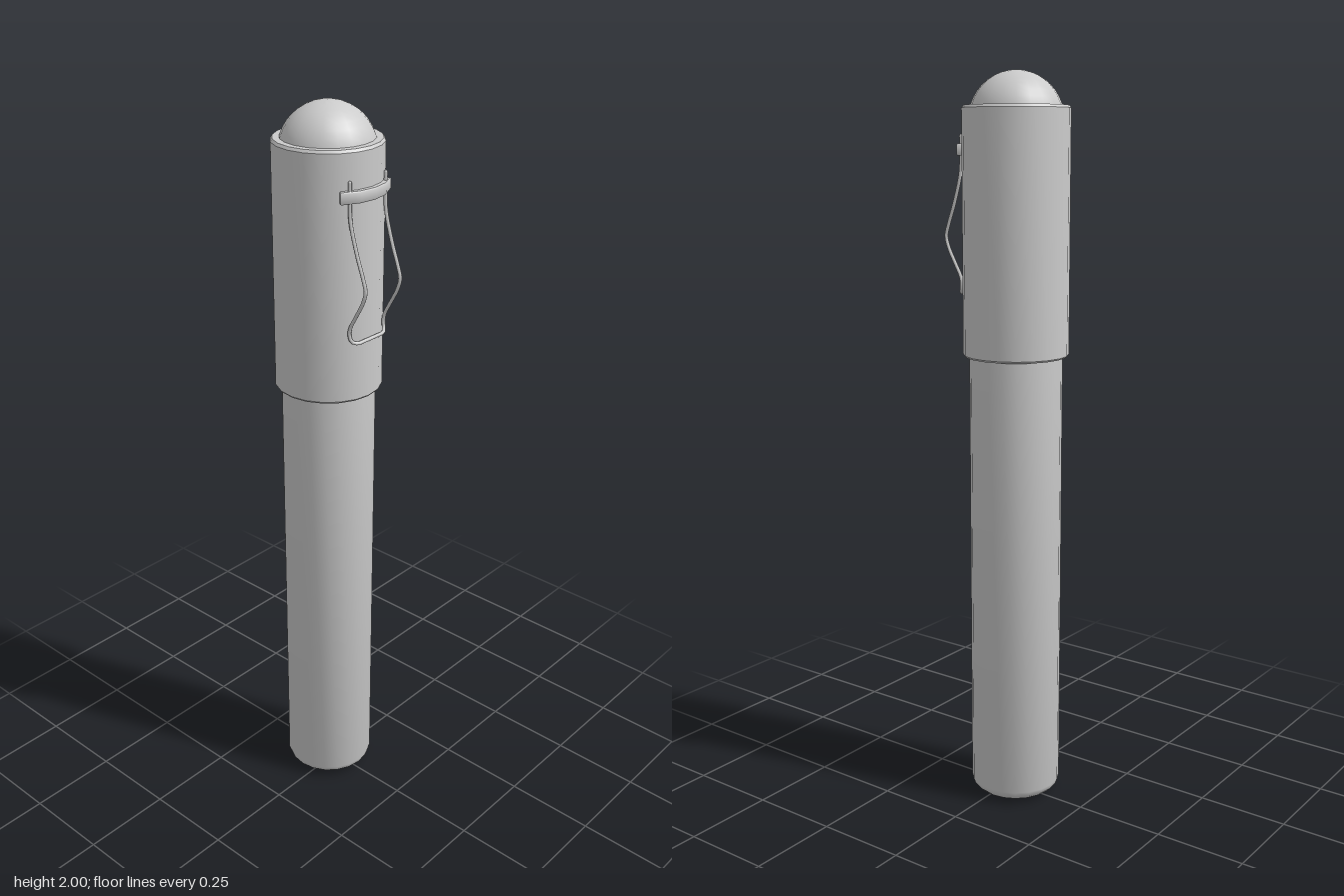
import * as THREE from 'three';
import { toCreasedNormals } from 'three/addons/utils/BufferGeometryUtils.js';

const SIDES = 20;
const AXIS_X = -0.024; // the barrel sits off centre to make room for the clip

export function createModel() {
  const model = new THREE.Group();
  const material = new THREE.MeshStandardMaterial({ color: 0xcccccc });

  const add = (name, geometry) => {
    const mesh = new THREE.Mesh(geometry, material);
    mesh.name = name;
    mesh.position.x = AXIS_X;
    model.add(mesh);
    return mesh;
  };
  const lathe = (points) => toCreasedNormals(
    new THREE.LatheGeometry(points.map(([r, y]) => new THREE.Vector2(r, y)), SIDES), 0.6);

  // Barrel with a softly rounded foot
  add('barrel', lathe([
    [0, 0], [0.085, 0.003], [0.107, 0.012], [0.12, 0.024], [0.125, 0.038], [0.125, 1.28],
  ]));

  // Cap sleeve with small chamfers on both rims
  add('cap', lathe([
    [0.12, 1.26], [0.138, 1.26], [0.142, 1.265], [0.142, 1.905], [0.137, 1.912], [0.11, 1.912],
  ]));

  // Domed end
  const dome = [];
  for (let i = 0; i <= 10; i++) {
    const a = (i / 10) * Math.PI / 2;
    dome.push([0.125 * Math.cos(a), 1.875 + 0.125 * Math.sin(a)]);
  }
  dome[10][0] = 0;
  add('dome', lathe(dome));

  // Curved band that holds the clip against the cap
  const arc = (r) => [-2, -1, 0, 1, 2].map((i) => {
    const a = (i * 2 * Math.PI) / SIDES;
    return new THREE.Vector2(r * Math.cos(a), r * Math.sin(a));
  });
  const band = new THREE.ExtrudeGeometry(
    new THREE.Shape([...arc(0.153), ...arc(0.138).reverse()]),
    { depth: 0.024, bevelEnabled: true, bevelThickness: 0.003, bevelSize: 0.002, bevelSegments: 1 });
  band.rotateX(-Math.PI / 2).translate(0, 1.788, 0);
  add('clipBand', toCreasedNormals(band, 0.6));

  // Bent wire clip: down one side, across the bottom and up the other
  const leg = [
    [0.106, 1.835], [0.106, 1.79], [0.109, 1.74], [0.131, 1.66], [0.151, 1.605],
    [0.159, 1.575], [0.151, 1.545], [0.127, 1.5], [0.111, 1.47], [0.107, 1.45],
  ].map(([x, y]) => [x, y, 0.066]);
  leg.push([0.112, 1.431, 0.062], [0.12, 1.425, 0.05], [0.122, 1.425, 0.025]);
  const mirrored = leg.map(([x, y, z]) => [x, y, -z]).reverse();
  const path = new THREE.CatmullRomCurve3(
    [...leg, ...mirrored].map((p) => new THREE.Vector3(...p)), false, 'centripetal');
  const clip = new THREE.Group();
  clip.name = 'clip';
  const wire = new THREE.Mesh(new THREE.TubeGeometry(path, 110, 0.0048, 8), material);
  wire.name = 'clipWire';
  clip.add(wire);

  // Closed wire ends
  for (const z of [0.066, -0.066]) {
    const tip = new THREE.Mesh(new THREE.SphereGeometry(0.0048, 8, 6), material);
    tip.name = 'clipWireEnd';
    tip.position.set(0.106, 1.835, z);
    clip.add(tip);
  }
  model.add(clip);

  return model;
}
